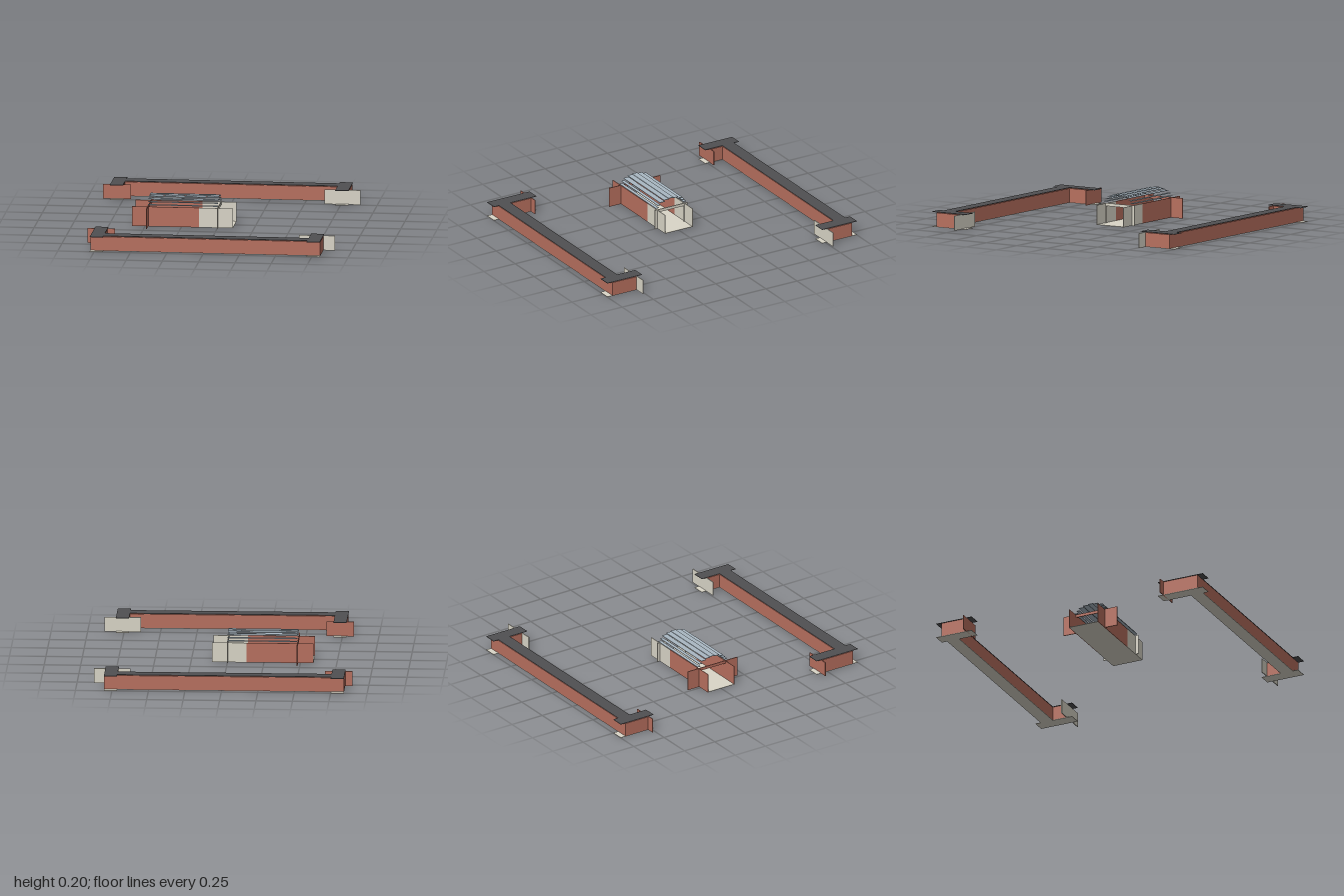
import * as THREE from 'three';

const mat = (color) => new THREE.MeshStandardMaterial({ color, side: THREE.DoubleSide });
const brick = mat(0xb8705f), cream = mat(0xdad6c8), dark = mat(0x505052), steel = mat(0xa9b7c2);
const T = 0.003; // sheet thickness
const H = 0.102; // wall height

// Box given by its extents along each axis
function block(parent, name, material, [x0, x1], [y0, y1], [z0, z1]) {
  const mesh = new THREE.Mesh(new THREE.BoxGeometry(x1 - x0, y1 - y0, z1 - z0), material);
  mesh.position.set((x0 + x1) / 2, (y0 + y1) / 2, (z0 + z1) / 2);
  mesh.name = name;
  parent.add(mesh);
}

// Wall with a dark coping sheet above and a pale footing sheet below
function cappedWall(parent, name, x, wallZ, sheetZ) {
  block(parent, name, brick, x, [T, H - T], wallZ);
  block(parent, name + 'Coping', dark, x, [H, H + T], sheetZ);
  block(parent, name + 'Footing', cream, x, [0, T], sheetZ);
}

// One long wall with a return at each end; s = +1 front, -1 back
function boundaryWall(name, s, left, right) {
  const g = new THREE.Group();
  g.name = name;
  const span = (a, b) => (s > 0 ? [a, b] : [-b, -a]);
  const run = span(0.868, 0.96);
  cappedWall(g, 'longWall', [left.x[1], right.x[0]], run, run);
  for (const [side, e, m] of [['left', left, brick], ['right', right, cream]]) {
    cappedWall(g, side + 'Return', e.x, span(e.plateZ, 0.96), span(e.tip, 1));
    block(g, side + 'CrossPlate', m, e.plateX, [0, H], span(e.plateZ - T, e.plateZ + T));
  }
  return g;
}

// Open channel with a slatted, arched roof
function tunnel() {
  const g = new THREE.Group();
  g.name = 'tunnel';
  const top = 0.137;
  block(g, 'floor', cream, [-0.59, 0.105], [0, T], [-0.11, 0.11]);
  for (const s of [-1, 1]) {
    const z = (a, b) => (s > 0 ? [a, b] : [-b, -a]);
    block(g, 'sideWallBrick', brick, [-0.59, -0.13], [0, top], z(0.107, 0.111));
    block(g, 'sideWallPale', cream, [-0.13, 0.105], [0, top], z(0.107, 0.111));
    block(g, 'wingWall', brick, [-0.484, -0.478], [0, 0.14], z(0.107, 0.205));
    block(g, 'portalJamb', cream, [-T, T], [0, 0.14], z(0.1, 0.132));
  }
  block(g, 'portalLintel', cream, [-T, T], [0.12, 0.14], [-0.107, 0.107]);
  block(g, 'rearLintel', brick, [-0.484, -0.478], [0.12, 0.14], [-0.107, 0.107]);
  // Flat slats stepping up over an arch
  const slats = [[0, 0.203], [0.037, 0.198], [0.07, 0.187], [0.095, 0.169], [0.11, 0.151]];
  slats.forEach(([z, y], i) => {
    const w = i < 3 ? 0.02 : 0.012;
    for (const s of i ? [-1, 1] : [1]) {
      block(g, 'roofSlat', steel, [-0.48, 0], [y - T / 2, y + T / 2], [s * z - w, s * z + w]);
    }
  });
  return g;
}

export function createModel() {
  const model = new THREE.Group();
  model.name = 'walledTunnelSet';
  const rightEnd = { x: [0.715, 0.805], plateX: [0.635, 0.885], plateZ: 0.762, tip: 0.722 };
  model.add(
    boundaryWall('frontWall', 1, { x: [-0.78, -0.69], plateX: [-0.83, -0.64], plateZ: 0.7, tip: 0.66 }, rightEnd),
    boundaryWall('backWall', -1, { x: [-0.84, -0.75], plateX: [-0.89, -0.7], plateZ: 0.77, tip: 0.73 }, rightEnd),
    tunnel()
  );
  return model;
}
